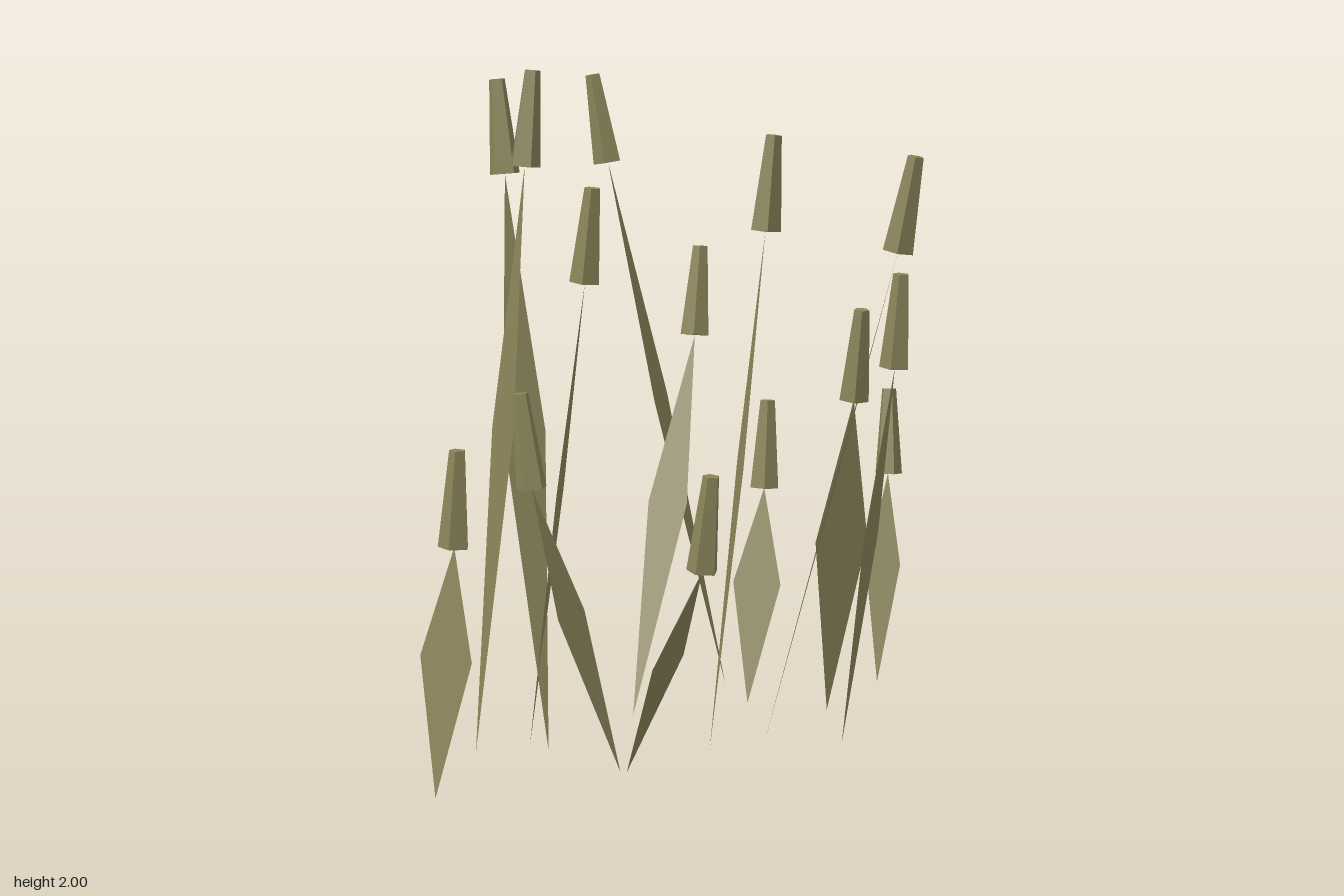
import * as THREE from 'three';

const HEAD_HEIGHT = 0.275;  // vertical rise of every seed head
const WIDEST = 0.555;       // where along its length a blade is widest

// Each reed: base [x, z], blade tip [x, y, z], half width [x, z], head lean [x, z]
const REEDS = [
  [[-0.97, 0.40], [-0.885, 0.70, 0.35], [0.047, 0.077], [0.01, 0.01]],
  [[0.10, 0.32], [0.41, 1.485, 0.55], [-0.037, 0.057], [0.035, 0.035]],
  [[0.33, 0.385], [0.435, 1.14, 0.495], [-0.055, 0.055], [0.01, 0.015]],
  [[-0.06, 0.285], [0.095, 1.54, 0.33], [-0.025, 0.07], [0.02, 0.01]],
  [[0.47, 0.03], [0.435, 1.01, 0.25], [-0.083, -0.012], [0.005, 0.035]],
  [[-0.525, 0.02], [-0.38, 1.39, 0.115], [-0.032, 0.048], [0.017, 0.02]],
  [[-0.695, 0.015], [-0.53, 1.725, 0.03], [0, 0.08], [0.025, 0.002]],
  [[-0.395, 0.385], [-0.585, 0.815, 0.195], [-0.06, 0.043], [-0.025, -0.02]],
  [[-0.49, 0.08], [-0.52, 1.69, -0.145], [0.065, 0.005], [-0.01, -0.03]],
  [[0.325, -0.385], [0.025, 1.67, -0.62], [-0.053, 0.065], [-0.037, -0.03]],
  [[-0.10, -0.17], [0.215, 1.14, -0.385], [0.043, 0.048], [0.035, -0.032]],
  [[0.285, -0.15], [0.395, 0.66, -0.255], [0.055, 0.055], [0.02, -0.018]],
  [[0.78, -0.205], [0.92, 0.64, -0.395], [0.052, 0.02], [0.015, -0.027]],
  [[-0.38, 0.395], [-0.25, 0.625, 0.625], [-0.078, 0.062], [0.013, 0.03]],
];

// Flat diamond blade from base to tip
function bladeGeometry(base, tip, half) {
  const middle = base.clone().lerp(tip, WIDEST);
  const left = middle.clone().sub(half);
  const right = middle.clone().add(half);
  const g = new THREE.BufferGeometry().setFromPoints([base, right, tip, base, tip, left]);
  g.computeVertexNormals();
  return g;
}

export function createModel() {
  const olive = new THREE.MeshStandardMaterial({ color: 0x8b855a, side: THREE.DoubleSide, flatShading: true });
  olive.name = 'olive';
  const group = new THREE.Group();
  group.name = 'reeds';
  const up = new THREE.Vector3(0, 1, 0);

  REEDS.forEach(([[bx, bz], tipXYZ, [hx, hz], [lx, lz]], i) => {
    const reed = new THREE.Group();
    reed.name = `reed${i + 1}`;
    const tip = new THREE.Vector3(...tipXYZ);

    const blade = new THREE.Mesh(
      bladeGeometry(new THREE.Vector3(bx, 0, bz), tip, new THREE.Vector3(hx, 0, hz)), olive);
    blade.name = 'blade';

    // Tapered five-sided seed head standing on the blade tip
    const axis = new THREE.Vector3(lx, HEAD_HEIGHT, lz);
    const head = new THREE.Mesh(new THREE.CylinderGeometry(0.024, 0.046, axis.length(), 5), olive);
    head.name = 'seedHead';
    head.position.copy(tip).addScaledVector(axis, 0.5);
    head.quaternion.setFromUnitVectors(up, axis.normalize());
    head.rotateY(Math.atan2(hx, hz));

    reed.add(blade, head);
    group.add(reed);
  });
  return group;
}
